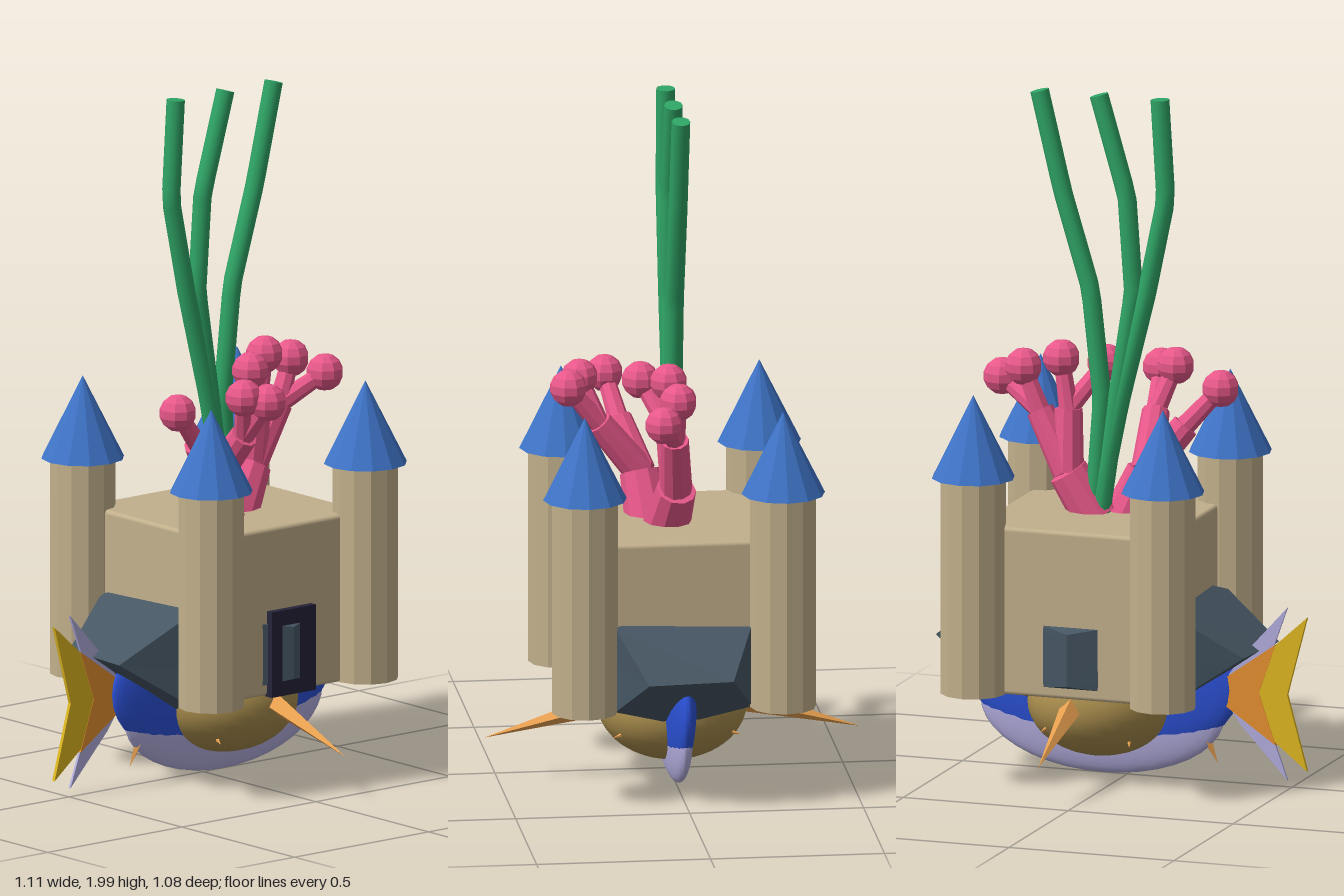
import * as THREE from 'three';
import { RoundedBoxGeometry } from 'three/addons/geometries/RoundedBoxGeometry.js';

const mat = (color, flatShading = false, side = THREE.FrontSide) =>
  new THREE.MeshStandardMaterial({ color, flatShading, side });
const SAND = mat(0xc2b08c), SAND_FLAT = mat(0xc2b08c, true), ROOF = mat(0x3f74c8, true);
const ROCK = mat(0x465663, true), DARK = mat(0x26233a), PINK = mat(0xe8588a, true, THREE.DoubleSide);
const GREEN = mat(0x2fa566, false, THREE.DoubleSide), BLUE = mat(0x2c52d8), LILAC = mat(0xb4aee0);
const OCHRE = mat(0xa88c4c), ORANGE = mat(0xe8a050, true), TAIL = mat(0xe89030), YELLOW = mat(0xe0b820);
const CX = 0.08; // centre line of the castle

const V = (a) => new THREE.Vector3(...a);

export function createModel() {
  const root = new THREE.Group();

  const add = (name, geometry, material, pos = [0, 0, 0], parent = root) => {
    const m = new THREE.Mesh(geometry, material);
    m.name = name;
    m.position.set(...pos);
    parent.add(m);
    return m;
  };
  const group = (name) => {
    const g = new THREE.Group();
    g.name = name;
    root.add(g);
    return g;
  };
  // Tapered cylinder from point a to point b
  const limb = (name, a, b, r0, r1, sides, material, parent = root) => {
    const p = V(a), q = V(b), d = q.clone().sub(p);
    const m = add(name, new THREE.CylinderGeometry(r1, r0, d.length(), sides), material, [0, 0, 0], parent);
    m.position.copy(p).add(q).multiplyScalar(0.5);
    m.quaternion.setFromUnitVectors(new THREE.Vector3(0, 1, 0), d.normalize());
    return m;
  };
  const ellipsoid = (name, pos, radii, material, parent) => {
    add(name, new THREE.SphereGeometry(1, 32, 20), material, pos, parent).scale.set(...radii);
  };

  // Castle keep, door and corner towers
  const castle = group('castle');
  add('keep', new RoundedBoxGeometry(0.57, 0.49, 0.57, 2, 0.012), SAND, [CX, 0.525, 0], castle);
  add('door', new THREE.BoxGeometry(0.165, 0.25, 0.03), DARK, [CX, 0.403, 0.292], castle);
  for (const x of [-0.21, 0.365]) for (const z of [-0.285, 0.285]) {
    add('tower', new THREE.CylinderGeometry(0.095, 0.095, 0.63, 12), SAND_FLAT, [x, 0.595, z], castle);
    add('towerRoof', new THREE.ConeGeometry(0.12, 0.24, 12), ROOF, [x, 1.03, z], castle);
  }

  // Faceted rock pushing through the castle walls, a little wider at the front
  const rockGeo = new THREE.DodecahedronGeometry(1);
  const rp = rockGeo.attributes.position;
  for (let i = 0; i < rp.count; i++) rp.setX(i, rp.getX(i) * (1 + 0.06 * rp.getZ(i)));
  rockGeo.computeVertexNormals();
  add('rock', rockGeo, ROCK, [0.07, 0.402, 0]).scale.set(0.51, 0.213, 0.343);

  // Fish: flat body, lower belly and round flanks
  const fish = group('fish');
  ellipsoid('fishBody', [0.07, 0.28, 0], [0.41, 0.23, 0.052], BLUE, fish);
  ellipsoid('fishBelly', [0.075, 0.2, 0], [0.37, 0.192, 0.042], LILAC, fish);
  ellipsoid('fishFlanks', [0.075, 0.22, 0], [0.215, 0.157, 0.213], OCHRE, fish);
  limb('lowerFin', [-0.2, 0.22, 0], [-0.275, 0.06, 0], 0.032, 0, 4, ORANGE, fish);
  for (const s of [-1, 1]) {
    limb('sideFin', [0.103, 0.238, 0.17 * s], [0.077, 0.135, 0.54 * s], 0.036, 0, 4, ORANGE, fish);
    // Tiny spines standing out from the flank
    for (const [x, y] of [[-0.05, 0.13], [0.19, 0.16], [0.235, 0.11]]) {
      const dx = (x - 0.075) / 0.215, dy = (y - 0.22) / 0.157;
      const z = 0.213 * Math.sqrt(Math.max(0, 1 - dx * dx - dy * dy));
      limb('spine', [x, y, z * s], [x + dx * 0.015, y + dy * 0.015, (z + 0.025) * s], 0.006, 0, 5, ORANGE, fish);
    }
  }

  // Layered forked tail, cut from flat sheets
  const sheet = (name, pts, depth, material) => {
    const shape = new THREE.Shape(pts.map(([x, y]) => new THREE.Vector2(x, y)));
    const g = new THREE.ExtrudeGeometry(shape, { depth, bevelEnabled: false });
    add(name, g, material, [0, 0, -0.01 - depth / 2], fish);
  };
  sheet('tailEdge', [[-0.49, 0.535], [-0.35, 0.38], [-0.28, 0.28], [-0.35, 0.18], [-0.49, 0.03], [-0.4, 0.28]], 0.008, LILAC);
  sheet('tailFork', [[-0.55, 0.51], [-0.44, 0.41], [-0.3, 0.28], [-0.44, 0.15], [-0.55, 0.06], [-0.49, 0.28]], 0.011, YELLOW);
  sheet('tailRoot', [[-0.455, 0.425], [-0.28, 0.3], [-0.28, 0.25], [-0.455, 0.13], [-0.405, 0.28]], 0.014, TAIL);

  // Corals: a thick trunk, arms, then thin stalks with round tips
  const coral = (name, base, fork, arms) => {
    const g = group(name);
    limb('trunk', base, fork, 0.07, 0.058, 10, PINK, g);
    for (const [elbow, tips] of arms) {
      limb('arm', fork, elbow, 0.046, 0.04, 10, PINK, g);
      for (const tip of tips) {
        limb('stalk', elbow, tip, 0.03, 0.024, 8, PINK, g);
        add('tip', new THREE.SphereGeometry(0.054, 9, 7), PINK, tip, g);
      }
    }
  };
  coral('frontCoral', [0.02, 0.75, 0.06], [-0.03, 0.88, 0.08], [
    [[-0.13, 1.01, 0.13], [[-0.227, 1.12, 0.158]]],
    [[-0.015, 1.03, 0.2], [[-0.058, 1.155, 0.25], [0.0, 1.14, 0.288]]],
  ]);
  coral('rearCoral', [0.1, 0.75, 0.02], [0.18, 0.88, 0], [
    [[0.185, 1.06, 0.02], [[0.098, 1.185, 0.094], [0.208, 1.205, 0.025]]],
    [[0.27, 1.05, 0.015], [[0.318, 1.175, 0.01], [0.402, 1.13, 0.062]]],
  ]);

  // Seaweed: kinked tubes with closed tops
  const weeds = group('seaweed');
  for (const xs of [[0.09, 0.02, -0.06, -0.118, -0.1], [0.08, 0.03, -0.02, 0.0, 0.085], [0.1, 0.075, 0.11, 0.195, 0.265]]) {
    const ys = [0.76, 1.1, 1.42, 1.7, 1.99];
    const path = new THREE.CurvePath();
    const pts = xs.map((x, i) => new THREE.Vector3(x, ys[i], -0.003));
    for (let i = 0; i < 4; i++) path.add(new THREE.LineCurve3(pts[i], pts[i + 1]));
    add('weedStem', new THREE.TubeGeometry(path, 24, 0.027, 10), GREEN, [0, 0, 0], weeds);
    const cap = add('weedTop', new THREE.CircleGeometry(0.027, 10), GREEN, pts[4].toArray(), weeds);
    cap.quaternion.setFromUnitVectors(new THREE.Vector3(0, 0, 1), pts[4].clone().sub(pts[3]).normalize());
  }
  return root;
}
